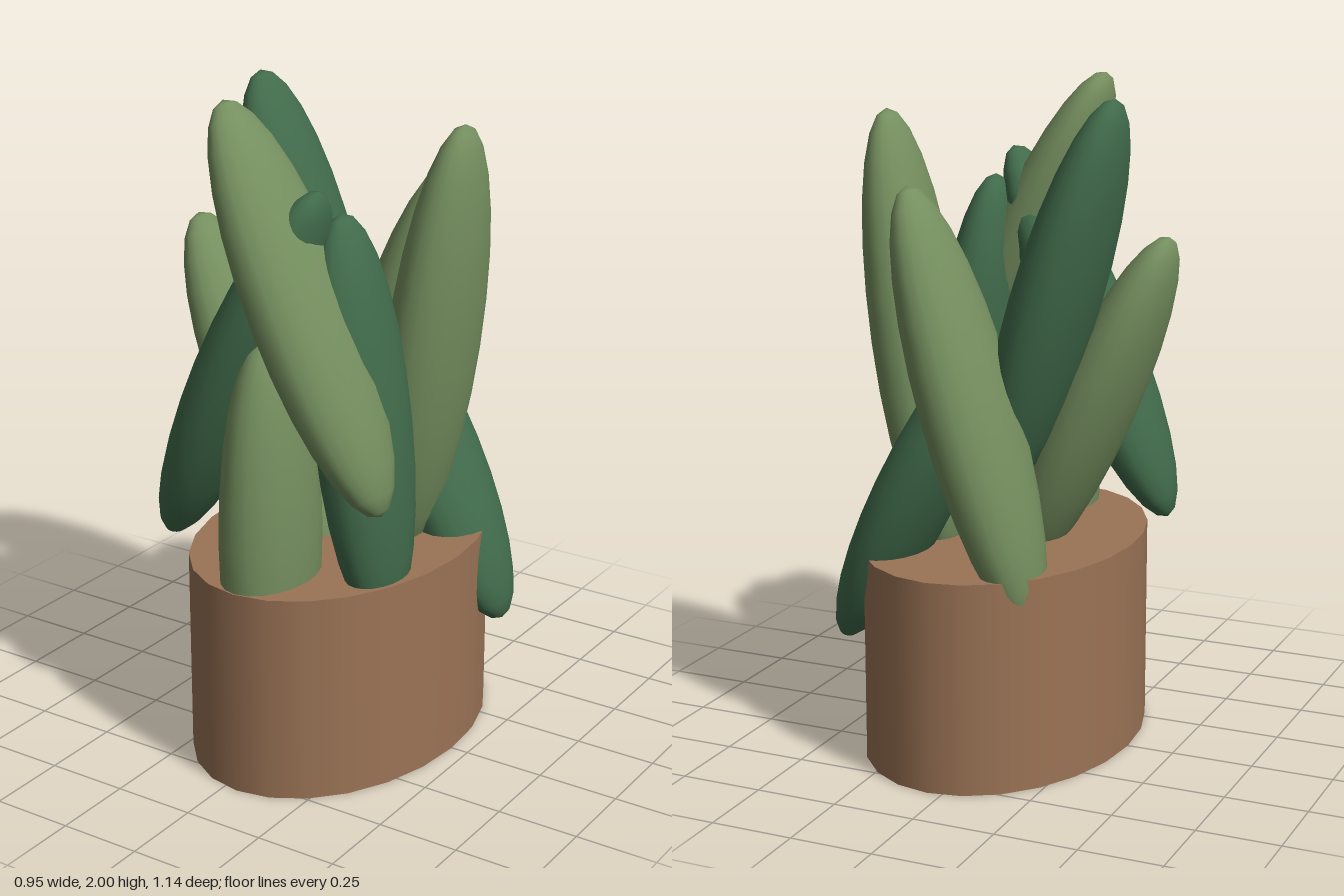
import * as THREE from 'three';

function material(name, color) {
  const m = new THREE.MeshStandardMaterial({ color });
  m.name = name;
  return m;
}

export function createModel() {
  const model = new THREE.Group();
  model.name = 'pottedSucculent';
  const clay = material('clay', 0x9a7355);
  const lightGreen = material('lightGreen', 0x758f5f);
  const darkGreen = material('darkGreen', 0x416b4b);

  // Oval pot, closed at the top by the soil surface
  const pot = new THREE.Mesh(new THREE.CylinderGeometry(1, 1, 0.635, 24), clay);
  pot.name = 'pot';
  pot.scale.set(0.4, 1, 0.57);
  pot.position.set(0.045, 0.3175, 0);
  model.add(pot);

  // Leaves: flattened ellipsoids, tilted sideways
  const leafShape = new THREE.SphereGeometry(1, 20, 14);
  function leaf(name, mat, [x, y, z], [w, length, depth], tilt) {
    const mesh = new THREE.Mesh(leafShape, mat);
    mesh.name = name;
    mesh.position.set(x, y, z);
    mesh.scale.set(w, length, depth);
    mesh.rotation.z = THREE.MathUtils.degToRad(tilt);
    model.add(mesh);
  }

  leaf('frontTallLeaf', lightGreen, [0.135, 1.44, 0.345], [0.12, 0.62, 0.195], 25);
  leaf('frontCrossingLeaf', darkGreen, [-0.1, 1.21, 0.305], [0.12, 0.62, 0.195], -25);
  leaf('frontUprightLeaf', lightGreen, [0.045, 0.76, 0.38], [0.13, 0.62, 0.19], 0);
  leaf('frontLeftLeaf', darkGreen, [0.255, 1.08, 0.215], [0.12, 0.62, 0.185], 7);
  leaf('rightLowLeaf', lightGreen, [-0.215, 1.03, 0.03], [0.12, 0.585, 0.19], 24);
  leaf('rightTallLeaf', darkGreen, [-0.18, 1.38, -0.17], [0.12, 0.62, 0.197], 17);
  leaf('leftTallLeaf', lightGreen, [0.295, 1.24, -0.1], [0.12, 0.68, 0.19], -8);
  leaf('backLeaf', lightGreen, [0, 1.09, -0.362], [0.125, 0.665, 0.195], -17);
  leaf('backHangingLeaf', darkGreen, [0.21, 0.82, -0.275], [0.115, 0.545, 0.187], 27);

  return model;
}
